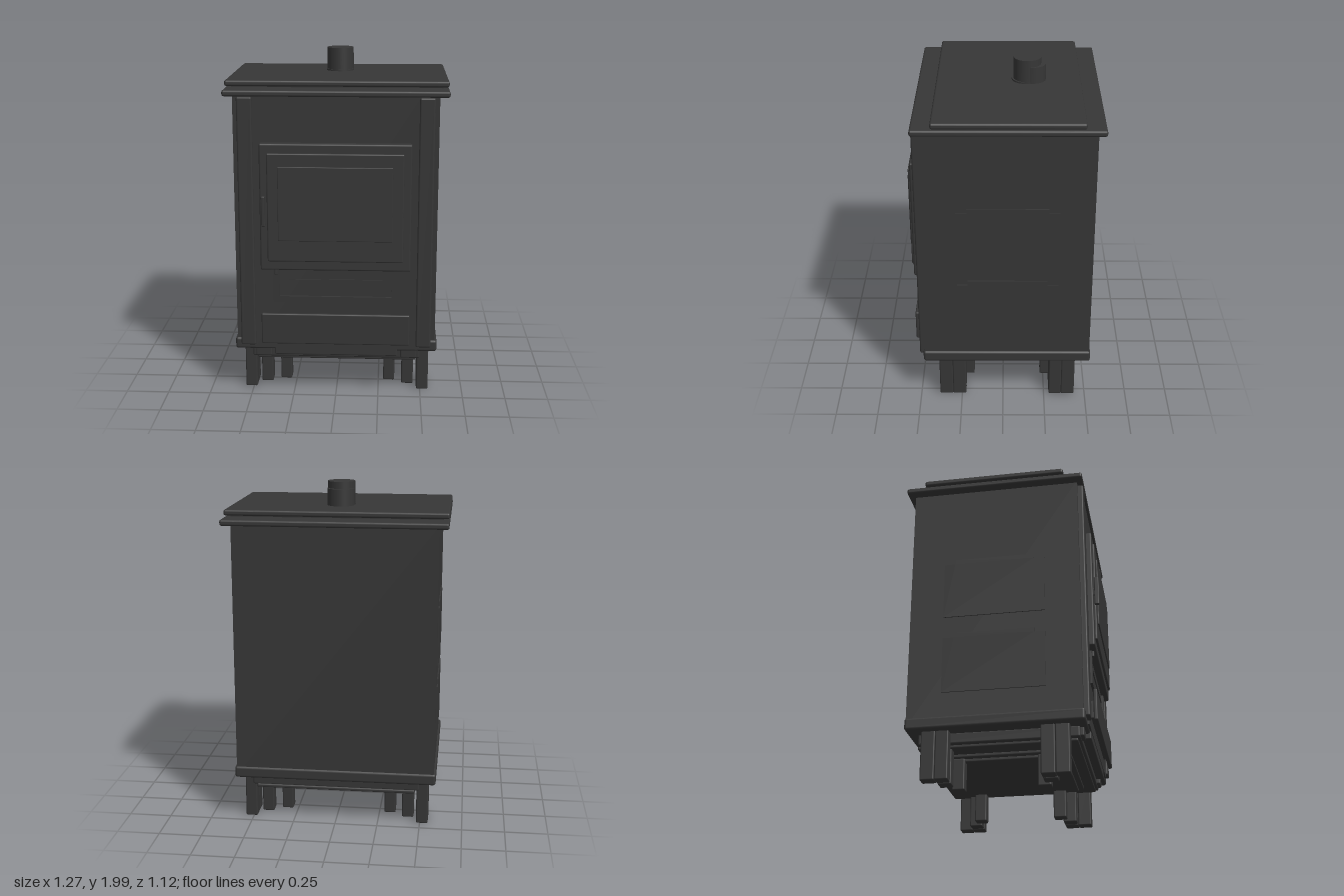
import * as THREE from 'three';
import { RoundedBoxGeometry } from 'three/addons/geometries/RoundedBoxGeometry.js';

export function createModel() {
  const stove = new THREE.Group();
  stove.name = 'stove';
  const iron = new THREE.MeshStandardMaterial({ color: 0x363636 });
  iron.name = 'cast iron';

  function add(name, geometry) {
    const mesh = new THREE.Mesh(geometry, iron);
    mesh.name = name;
    stove.add(mesh);
    return mesh;
  }
  // Box given by its extents; a radius softens its edges
  function box(name, x0, x1, y0, y1, z0, z1, r = 0) {
    const s = [x1 - x0, y1 - y0, z1 - z0];
    const g = r ? new RoundedBoxGeometry(...s, 2, r) : new THREE.BoxGeometry(...s);
    add(name, g).position.set((x0 + x1) / 2, (y0 + y1) / 2, (z0 + z1) / 2);
  }
  // Upright cylinder for the flue
  function pipe(name, r, y0, y1, z) {
    add(name, new THREE.CylinderGeometry(r, r, y1 - y0, 40)).position.set(0, (y0 + y1) / 2, z);
  }

  // Body and front panel
  box('body', -0.58, 0.58, 0.3, 1.8, -0.515, 0.465);
  box('frontPanel', -0.475, 0.475, 0.3, 1.79, 0.46, 0.485);

  // Top plates with a narrow shadow gap between them
  box('lowerTopPlate', -0.635, 0.635, 1.787, 1.822, -0.557, 0.5, 0.012);
  box('topSpacer', -0.6, 0.6, 1.815, 1.835, -0.42, 0.36);
  box('upperTopPlate', -0.635, 0.635, 1.829, 1.863, -0.447, 0.388, 0.012);

  // Flue: tall spigot with a lower sleeve set behind it
  pipe('flueSpigot', 0.079, 1.85, 2, -0.138);
  pipe('flueSleeve', 0.079, 1.85, 1.96, -0.166);
  pipe('flueCollar', 0.082, 1.85, 1.872, -0.13);

  // Stepped base and ash tray underneath
  box('baseRim', -0.592, 0.592, 0.285, 0.355, -0.522, 0.475, 0.015);
  box('baseStep', -0.495, 0.495, 0.225, 0.29, -0.465, 0.435, 0.01);
  box('baseLowerStep', -0.47, 0.47, 0.208, 0.23, -0.47, 0.42, 0.008);
  box('trayStep', -0.36, 0.36, 0.19, 0.212, -0.4, 0.36, 0.008);
  box('trayBottom', -0.33, 0.33, 0.172, 0.195, -0.37, 0.33, 0.008);

  for (const s of [-1, 1]) {
    const mirrored = (name, x0, x1, ...rest) =>
      box(name, Math.min(s * x0, s * x1), Math.max(s * x0, s * x1), ...rest);

    // Front corner posts
    mirrored('frontPost', 0.468, 0.555, 0.318, 1.785, 0.455, 0.498, 0.01);

    // Leg clusters stepping diagonally inward at each corner
    for (const [end, a, b, c, d] of [['front', 0.385, 0.305, 0.225, 0.18], ['back', -0.435, -0.355, -0.28, -0.23]]) {
      const leg = (name, x0, x1, top, z0, z1) =>
        mirrored(end + name, x0, x1, 0.008, top, Math.min(z0, z1), Math.max(z0, z1), 0.008);
      leg('OuterLeg', 0.478, 0.548, 0.3, a, b);
      leg('OuterLegInnerHalf', 0.478, 0.548, 0.3, b, c);
      leg('MiddleLeg', 0.39, 0.46, 0.24, b, c);
      leg('InnerLeg', 0.28, 0.348, 0.19, d + (b - c) * 0.95, d);
    }
    mirrored('legBracket', 0.38, 0.475, 0.235, 0.3, 0.38, 0.455, 0.008);

    // Notched side panels
    for (const y of [0.957, 0.495]) {
      const top = y + (y > 0.9 ? 0.367 : 0.358);
      const shape = new THREE.Shape([
        [-0.32, y], [0.265, y], [0.265, top - 0.028], [0.203, top - 0.028],
        [0.203, top], [-0.257, top], [-0.257, top - 0.028], [-0.32, top - 0.028],
      ].map(([z, h]) => new THREE.Vector2(-s * z, h)));
      const g = new THREE.ExtrudeGeometry(shape, { depth: 0.008, bevelEnabled: false });
      const panel = add('sidePanel', g);
      panel.rotation.y = s * Math.PI / 2;
      panel.position.x = s * 0.579;
    }
  }

  // Fire door: stacked frames and glass
  box('doorFrame', -0.43, 0.43, 0.79, 1.528, 0.47, 0.525, 0.01);
  box('door', -0.387, 0.387, 0.845, 1.475, 0.5, 0.538, 0.008);
  box('doorWindow', -0.325, 0.325, 0.97, 1.4, 0.52, 0.546, 0.004);
  box('doorHandle', -0.418, -0.397, 1.055, 1.232, 0.53, 0.558, 0.006);
  box('handleMount', -0.414, -0.401, 1.12, 1.16, 0.51, 0.54);

  // Ash door with recessed panel and slot rib
  const frame = new THREE.Shape([[-0.36, 0.587], [0.36, 0.587], [0.36, 0.81], [-0.36, 0.81]]
    .map(p => new THREE.Vector2(...p)));
  frame.holes.push(new THREE.Path([[-0.325, 0.624], [-0.325, 0.79], [0.325, 0.79], [0.325, 0.624]]
    .map(p => new THREE.Vector2(...p))));
  add('ashDoorFrame', new THREE.ExtrudeGeometry(frame, { depth: 0.025, bevelEnabled: false })).position.z = 0.474;
  box('ashDoorRib', -0.27, 0.27, 0.718, 0.726, 0.48, 0.492);
  box('ashDoorLatch', -0.352, -0.335, 0.755, 0.795, 0.49, 0.512, 0.005);

  // Lower front shelf plate and the lip below it
  box('shelfPlate', -0.43, 0.43, 0.34, 0.525, 0.505, 0.528, 0.008);
  box('shelfMount', -0.36, 0.36, 0.38, 0.48, 0.47, 0.51);
  box('frontLip', -0.36, 0.36, 0.255, 0.345, 0.43, 0.482, 0.008);

  return stove;
}
